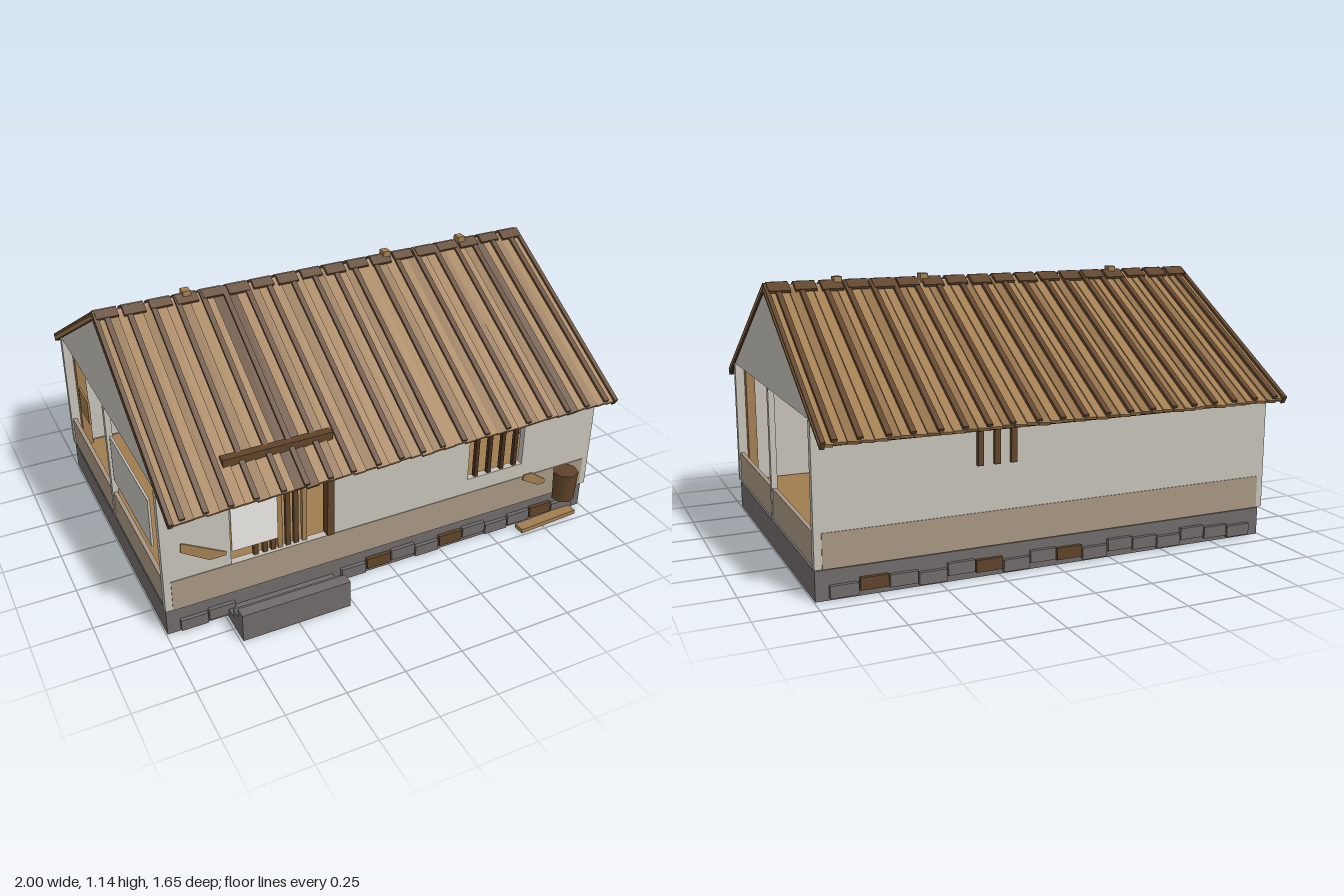
import * as THREE from 'three';

const mat = (name, color) => {
  const m = new THREE.MeshStandardMaterial({ color });
  m.name = name;
  return m;
};

export function createModel() {
  const plaster = mat('plaster', 0xc4c0b6), wainscot = mat('wainscot', 0xa69581),
    tan = mat('tanWood', 0xa07c50), brown = mat('brownWood', 0x5f4329),
    dark = mat('darkWood', 0x45301f), stone = mat('stone', 0x6e6a69),
    paper = mat('paper', 0xf6f5f0), plank2 = mat('agedWood', 0x8f6e47);
  const model = new THREE.Group();

  const box = (parent, name, m, x0, x1, y0, y1, z0, z1) => {
    const mesh = new THREE.Mesh(new THREE.BoxGeometry(x1 - x0, y1 - y0, z1 - z0), m);
    mesh.position.set((x0 + x1) / 2, (y0 + y1) / 2, (z0 + z1) / 2);
    mesh.name = name;
    parent.add(mesh);
    return mesh;
  };
  const polygon = (pts, C = THREE.Shape) => new C(pts.map(p => new THREE.Vector2(...p)));
  const rect = (x0, x1, y0, y1) => [[x0, y0], [x1, y0], [x1, y1], [x0, y1]];
  const extrude = (name, shape, depth, m) => {
    const mesh = new THREE.Mesh(
      new THREE.ExtrudeGeometry(shape, { depth, bevelEnabled: false }), m);
    mesh.name = name;
    model.add(mesh);
    return mesh;
  };
  let seed = 7;
  const rnd = () => (seed = (seed * 16807) % 2147483647) / 2147483647;

  // Foundation and floor
  box(model, 'foundation', stone, -0.995, 0.995, 0, 0.12, -0.665, 0.665);
  box(model, 'floor', tan, -0.97, 0.97, 0.12, 0.135, -0.64, 0.64);

  // Facing stones, with a few wooden blocks between them
  for (const s of [1, -1]) {
    for (let i = 0; i < 16; i++) {
      const x = -0.94 + i * 0.118;
      if (s > 0 && x > -0.75 && x < -0.3) continue;
      const wood = i === 7 || i === 10 || i === 14;
      const lift = wood ? 0.015 : (i % 3) * 0.01;
      box(model, wood ? 'foundationBlock' : 'facingStone', wood ? brown : stone,
        x, x + 0.112, 0.01 + lift, 0.06 + lift,
        s > 0 ? 0.66 : -0.682, s > 0 ? 0.682 : -0.66);
    }
  }

  // Entrance step
  box(model, 'stepOuter', stone, -0.74, -0.27, 0, 0.125, 0.78, 0.83);
  box(model, 'stepMiddle', stone, -0.74, -0.27, 0, 0.085, 0.73, 0.78);
  box(model, 'stepInner', stone, -0.74, -0.27, 0, 0.045, 0.665, 0.73);

  // Front wall with door opening and window
  const front = polygon(rect(-1, 1, 0.13, 0.69));
  front.holes.push(polygon(rect(-0.72, -0.275, 0.27, 0.605), THREE.Path),
    polygon(rect(0.36, 0.635, 0.34, 0.585), THREE.Path));
  extrude('frontWall', front, 0.03, plaster).position.z = 0.653;
  box(model, 'backWall', plaster, -1, 1, 0.13, 0.69, -0.683, -0.653);
  box(model, 'frontWainscot', wainscot, -0.97, 0.97, 0.13, 0.27, 0.682, 0.686);
  box(model, 'backWainscot', wainscot, -0.97, 0.97, 0.13, 0.27, -0.686, -0.682);

  // Open gable ends: triangle, middle post, low wall and inner corner posts
  for (const s of [1, -1]) {
    const gable = extrude('gable', polygon([[-0.69, 0.69], [0.69, 0.69], [0, 1.085]]), 0.02, plaster);
    gable.rotation.y = Math.PI / 2;
    gable.position.x = s * 0.985 - 0.01;
    const x0 = s * 0.985 - 0.013, x1 = x0 + 0.026;
    box(model, 'gablePost', plaster, x0, x1, 0.13, 0.69, -0.013, 0.013);
    box(model, 'gableLowWall', wainscot, x0 + 0.004, x1 - 0.004, 0.13, 0.265, -0.653, 0.653);
    for (const t of [1, -1]) {
      const post = box(model, 'cornerPost', tan, s * 0.94 - 0.02, s * 0.94 + 0.02, 0.13, 0.69,
        t * 0.63 - 0.018, t * 0.63 + 0.018);
      post.rotation.x = t * 0.012;
    }
  }

  // Panels in the right-hand gable opening
  box(model, 'gableScreen', plaster, -0.99, -0.98, 0.34, 0.56, 0.03, 0.53);
  box(model, 'gableBoard', tan, -0.99, -0.98, 0.42, 0.535, -0.46, -0.32);

  // Door lattice, post and paper screen
  [[-0.61, brown], [-0.57, brown], [-0.535, brown], [-0.505, tan],
    [-0.47, brown], [-0.435, brown], [-0.398, tan]].forEach(([x, m]) =>
    box(model, 'doorBar', m, x - 0.01, x + 0.01, 0.27, 0.605, 0.655, 0.672));
  box(model, 'doorRail', brown, -0.62, -0.385, 0.565, 0.595, 0.66, 0.678);
  box(model, 'doorPost', brown, -0.305, -0.275, 0.27, 0.605, 0.645, 0.69);
  box(model, 'doorScreen', paper, -0.715, -0.52, 0.33, 0.54, 0.678, 0.684);

  // Window bars
  for (let i = 0; i < 4; i++) {
    const x = 0.405 + i * 0.065;
    box(model, 'windowBar', dark, x - 0.009, x + 0.009, 0.34, 0.585, 0.659, 0.677);
  }

  // Exposed lath patches on the front wall
  extrude('lathPatch', polygon([[-0.92, 0.44], [-0.9, 0.43], [-0.74, 0.34], [-0.74, 0.325],
    [-0.81, 0.325], [-0.925, 0.4]].reverse()), 0.005, tan).position.z = 0.684;
  extrude('lathPatch', polygon([[0.65, 0.28], [0.69, 0.28], [0.765, 0.225], [0.765, 0.205],
    [0.73, 0.205], [0.645, 0.255]].reverse()), 0.005, tan).position.z = 0.687;

  // Barrel, fallen plank and pegs
  const barrel = new THREE.Mesh(new THREE.CylinderGeometry(0.057, 0.05, 0.14, 7), brown);
  barrel.name = 'barrel';
  barrel.position.set(0.845, 0.2, 0.728);
  model.add(barrel);
  box(model, 'fallenPlank', tan, 0.63, 0.93, 0.005, 0.025, 0.685, 0.735).rotation.y = 0.06;
  for (const x of [0.2, 0.27, 0.34])
    box(model, 'wallPeg', brown, x - 0.012, x + 0.012, 0.46, 0.62, -0.7, -0.683);

  // Bed
  box(model, 'bedFrame', tan, 0.2, 0.88, 0.135, 0.215, -0.61, -0.22);
  box(model, 'mattress', plaster, 0.23, 0.85, 0.215, 0.245, -0.59, -0.25);
  box(model, 'pillow', plaster, 0.27, 0.4, 0.245, 0.258, -0.52, -0.32);

  // Roof slopes: underside, planks and battens
  const angle = 0.53, length = 0.95;
  for (const s of [1, -1]) {
    const slope = new THREE.Group();
    slope.name = s > 0 ? 'frontRoof' : 'backRoof';
    slope.position.y = 1.12;
    slope.rotation.x = s * angle;
    model.add(slope);
    const strip = (name, m, x, w, y0, y1, len) => box(slope, name, m, x - w / 2, x + w / 2, y0, y1,
      s > 0 ? 0 : -len, s > 0 ? len : 0);
    strip('roofUnderside', dark, 0, 1.99, -0.032, -0.02, length - 0.015);
    for (let i = 0; i < 40; i++) {
      const x = -0.975 + i * 0.05;
      const darkPlank = s > 0 && (i === 10 || i === 11 || i === 35);
      const plank = strip('roofPlank', darkPlank ? brown : i % 3 === 1 ? plank2 : tan, x, 0.05,
        -0.021, -0.007, length - 0.008 * rnd());
      plank.rotation.z = 0.08 + rnd() * 0.06;
    }
    for (let i = 0; i < 20; i++) {
      const x = -0.95 + i * 0.1 + (rnd() - 0.5) * 0.012;
      strip('roofBatten', brown, x, 0.022, -0.01, 0.005, length - 0.01).rotation.y = (rnd() - 0.5) * 0.006;
    }
    for (const x of [-0.99, 0.99]) strip('roofEdge', brown, x, 0.018, -0.03, 0.004, length);
    // Ridge caps
    for (let i = 0; i < 18; i++) {
      const x = -0.945 + i * 0.111, w = 0.05 + (i % 2) * 0.005;
      box(slope, 'ridgeCap', brown, x - 0.045, x + 0.045, -0.004, 0.008,
        s > 0 ? 0 : -w - 0.008, s > 0 ? w - 0.008 : 0);
    }
  }
  for (const x of [-0.61, 0.31, 0.69])
    box(model, 'ridgePeg', tan, x - 0.017, x + 0.017, 1.1, 1.14, -0.02, 0.02);

  // Bar lying across the front roof
  box(model, 'roofBar', brown, -0.73, -0.275, 0.715, 0.75, 0.635, 0.672);

  return model;
}
